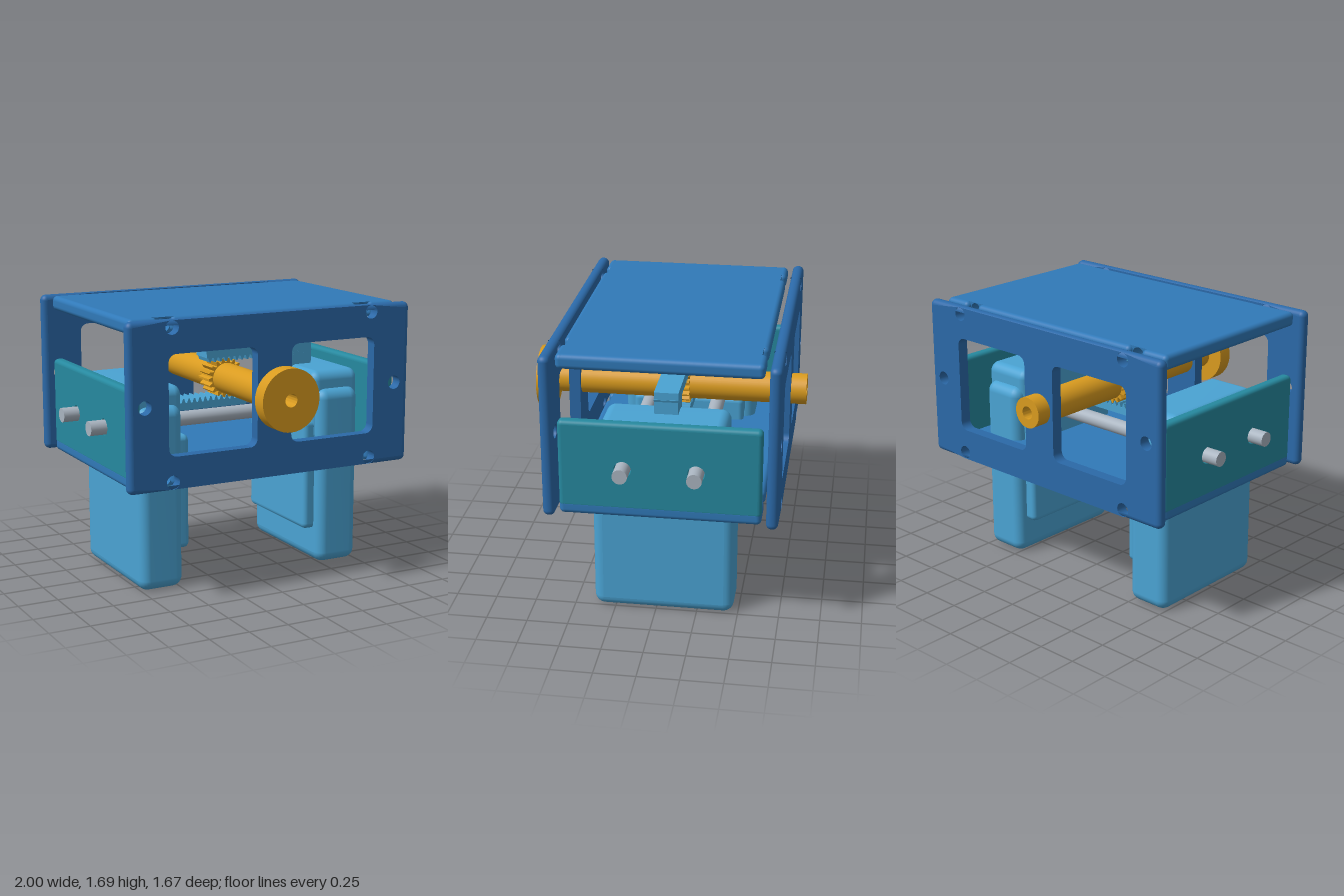
import * as THREE from 'three';
import { mergeGeometries, toCreasedNormals } from 'three/addons/utils/BufferGeometryUtils.js';
import { RoundedBoxGeometry } from 'three/addons/geometries/RoundedBoxGeometry.js';

const mat = (color) => new THREE.MeshStandardMaterial({ color });
const PANEL = mat(0x2b69a8), PLATE = mat(0x3079b8), TEAL = mat(0x26899f);
const FINGER = mat(0x4aa3d3), GOLD = mat(0xd99b1f), STEEL = mat(0xa9b4c0);
const ZC = -0.045; // middle of the housing along z
const AXIS_Y = 1.195; // height of the drive shaft

// Counter-clockwise rounded rectangle
function ring(w, h, r, x = 0, y = 0, n = 8) {
  const pts = [];
  r = Math.max(r, 0.001);
  for (let c = 0; c < 4; c++) {
    const sx = c === 0 || c === 3 ? 1 : -1, sy = c < 2 ? 1 : -1;
    for (let i = 0; i <= n; i++) {
      const a = (c + i / n) * Math.PI / 2;
      pts.push(new THREE.Vector2(x + sx * (w / 2 - r) + r * Math.cos(a), y + sy * (h / 2 - r) + r * Math.sin(a)));
    }
  }
  return pts;
}
const circle = (x, y, r) => ring(2 * r, 2 * r, r, x, y);

// Skin between closed rings, each given as [points, z]
function loft(levels) {
  const pos = [], index = [], n = levels[0][0].length;
  for (const [pts, z] of levels) for (const p of pts) pos.push(p.x, p.y, z);
  for (let j = 0; j < levels.length - 1; j++) {
    for (let i = 0; i < n; i++) {
      const a = j * n + i, b = j * n + (i + 1) % n;
      index.push(a, b, b + n, a, b + n, a + n);
    }
  }
  const g = new THREE.BufferGeometry();
  g.setAttribute('position', new THREE.Float32BufferAttribute(pos, 3));
  g.setIndex(index);
  g.computeVertexNormals();
  return g;
}

// Slab in the xy plane: thickness t, corner radius r, rounded rim e, straight holes (mirror-symmetric in x)
function slab(w, h, t, r, e, holes = []) {
  const levels = [], K = e ? 6 : 0;
  for (const s of [-1, 1]) {
    for (let k = 0; k <= K; k++) {
      const a = K ? (k / K + (s < 0 ? -1 : 0)) * Math.PI / 2 : 0;
      const inset = e * (1 - Math.cos(a));
      levels.push([ring(w - 2 * inset, h - 2 * inset, r - inset), s * (t / 2 - e) + e * Math.sin(a)]);
    }
  }
  const shape = new THREE.Shape(ring(w - 2 * e, h - 2 * e, r - e));
  shape.holes = holes.map((p) => new THREE.Path(p));
  const front = new THREE.ShapeGeometry(shape).translate(0, 0, t / 2);
  const back = front.clone().rotateY(Math.PI);
  front.deleteAttribute('uv');
  back.deleteAttribute('uv');
  return mergeGeometries([loft(levels), front, back, ...holes.map((p) => loft([[p, t / 2], [p, -t / 2]]))]);
}

export function createModel() {
  const model = new THREE.Group();
  const add = (name, geo, material, x = 0, y = 0, z = 0, parent = model) => {
    const m = new THREE.Mesh(geo, material);
    m.name = name;
    m.position.set(x, y, z);
    parent.add(m);
    return m;
  };

  // Front and back panels with two windows and six screw holes
  const panelHoles = [];
  for (const s of [-1, 1]) {
    panelHoles.push(ring(0.58, 0.6, 0.05, s * 0.405, 0.002));
    panelHoles.push(circle(s * 0.67, 0.455, 0.042), circle(s * 0.67, -0.45, 0.042), circle(s * 0.845, 0.005, 0.042));
  }
  const panel = slab(1.9, 1, 0.07, 0.035, 0.032, panelHoles);
  add('frontPanel', panel, PANEL, 0, 1.19, 0.605);
  add('backPanel', panel, PANEL, 0, 1.19, -0.705);

  // Top and bottom plates, bored lengthwise, with rounded lips interrupted by the bores
  const bores = [-1, 1].map((s) => circle(s * 0.67, 0, 0.042));
  const plate = slab(1.8, 0.09, 1.13, 0.03, 0, bores);
  for (const [name, y] of [['topPlate', 1.645], ['bottomPlate', 0.737]]) {
    const g = new THREE.Group();
    g.name = name;
    g.position.set(0, y, ZC);
    model.add(g);
    add(name + 'Body', plate, PLATE, 0, 0, 0, g);
    for (const s of [-1, 1]) {
      for (const [x, len] of [[-0.806, 0.188], [0, 1.256], [0.806, 0.188]]) {
        add(name + 'Lip', new RoundedBoxGeometry(len, 0.09, 0.06, 4, 0.029), PLATE, x, 0, s * 0.565, g);
      }
    }
  }

  // Guide rods
  for (const z of [0.17, -0.26]) {
    add('guideRod', new THREE.CylinderGeometry(0.045, 0.045, 2, 32).rotateZ(Math.PI / 2), STEEL, 0, 1, z);
  }

  // Side plates and fingers, bored for the rods
  const rodHoles = (y) => [-0.215, 0.215].map((x) => circle(x, 1 - y, 0.051));
  const sideways = (w, y0, y1, t, r, e, bored = true) => {
    const y = (y0 + y1) / 2;
    return slab(w, y1 - y0, t, r, e, bored ? rodHoles(y) : []).rotateY(Math.PI / 2).translate(0, y, ZC);
  };
  const sidePlate = sideways(1.19, 0.735, 1.288, 0.07, 0.03, 0.025);
  const finger = sideways(0.855, 0, 1.13, 0.285, 0.065, 0.06);
  const carriage = sideways(0.75, 0.78, 1.24, 0.33, 0.06, 0.05);
  const pad = sideways(0.72, 0.22, 0.93, 0.1, 0.035, 0.03, false);
  for (const s of [-1, 1]) {
    const side = s > 0 ? 'left' : 'right';
    add(side + 'SidePlate', sidePlate, TEAL, s * 0.865);
    add(side + 'Finger', finger, FINGER, s * 0.618);
    add(side + 'Carriage', carriage, FINGER, s * 0.62);
    add(side + 'GripPad', pad, FINGER, s * 0.455);
  }

  // Toothed racks: the lower one is the upper one turned half round the shaft
  const rackShape = new THREE.Shape();
  rackShape.moveTo(-0.14, 0.18);
  rackShape.lineTo(-0.14, 0.135);
  for (let x = -0.13; x < 0.6; x += 0.038) {
    rackShape.lineTo(x, 0.135);
    rackShape.lineTo(x + 0.01, 0.107);
    rackShape.lineTo(x + 0.018, 0.107);
    rackShape.lineTo(x + 0.028, 0.135);
  }
  rackShape.lineTo(0.615, 0.135);
  rackShape.lineTo(0.615, 0.18);
  const rack = new THREE.ExtrudeGeometry(rackShape, { depth: 0.145, bevelEnabled: false }).translate(0, 0, -0.0725);
  for (const turn of [0, Math.PI]) {
    const g = new THREE.Group();
    g.name = turn ? 'lowerRack' : 'upperRack';
    g.position.set(0, AXIS_Y, ZC);
    g.rotation.z = turn;
    model.add(g);
    add('rackBar', rack, FINGER, 0, 0, 0, g);
    add('rackPost', new THREE.BoxGeometry(0.16, 0.16, 0.143), FINGER, 0.535, 0.099, 0, g);
  }

  // Hollow drive shaft with knob
  const profile = [[0.04, -0.835], [0.095, -0.835], [0.095, 0.74], [0.19, 0.74], [0.19, 0.835], [0.04, 0.835], [0.04, -0.835]];
  const shaft = new THREE.LatheGeometry(profile.map(([r, y]) => new THREE.Vector2(r, y)), 48).rotateX(Math.PI / 2);
  add('driveShaftAndKnob', toCreasedNormals(shaft, 0.6), GOLD, 0, AXIS_Y, 0);

  // Pinion between the racks
  const teeth = 18, pinionShape = new THREE.Shape();
  for (let i = 0; i < teeth * 4; i++) {
    const a = (i / (teeth * 4)) * Math.PI * 2, r = i % 4 < 2 ? 0.125 : 0.1;
    pinionShape[i ? 'lineTo' : 'moveTo'](r * Math.cos(a), r * Math.sin(a));
  }
  pinionShape.holes.push(new THREE.Path(circle(0, 0, 0.09)));
  const pinion = new THREE.ExtrudeGeometry(pinionShape, { depth: 0.14, bevelEnabled: false });
  add('pinion', pinion, GOLD, 0, AXIS_Y, ZC - 0.07);

  return model;
}
